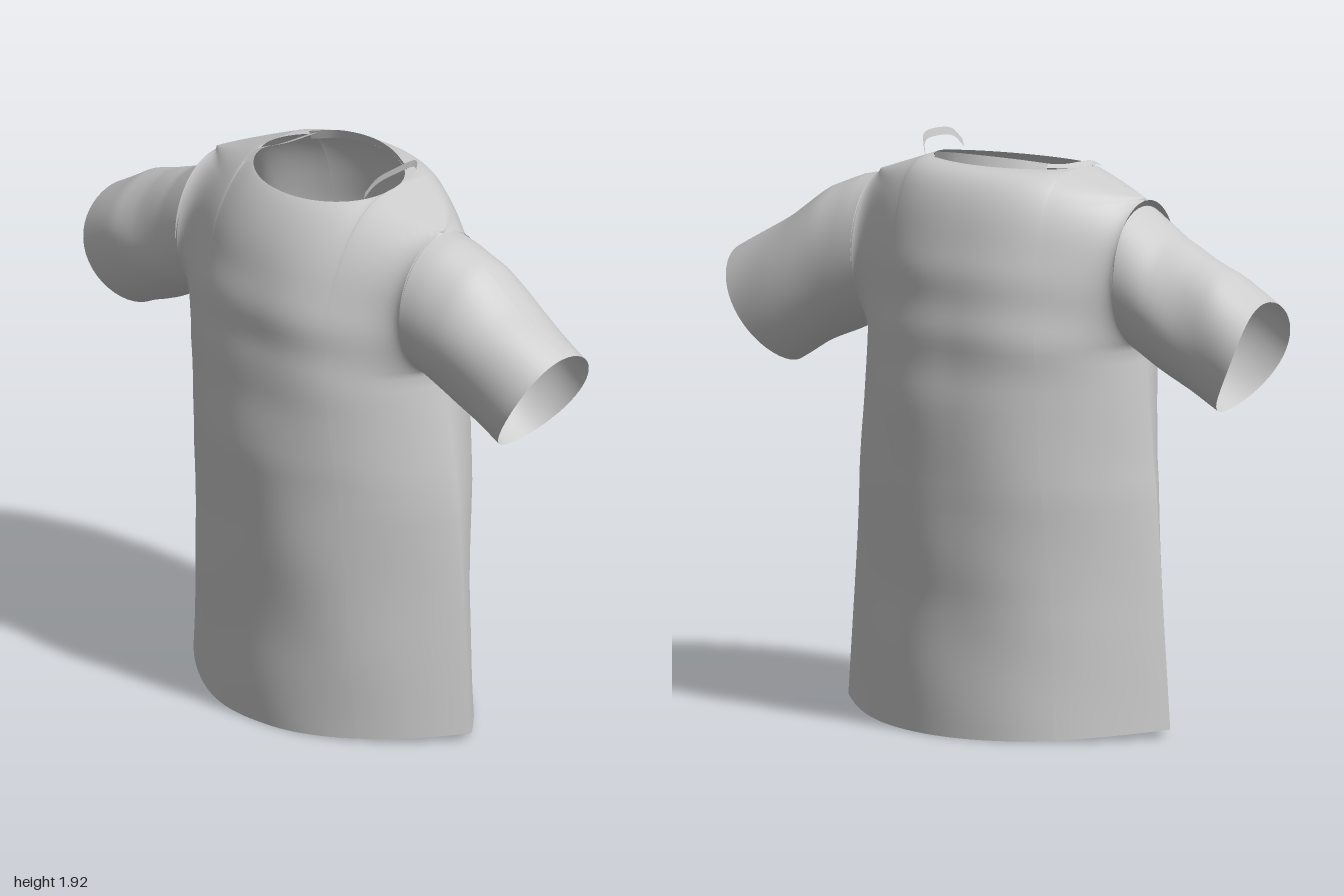
import * as THREE from 'three';

const cloth = new THREE.MeshStandardMaterial({ color: 0xcccccc, side: THREE.DoubleSide });
cloth.name = 'greyCloth';

const { lerp, clamp } = THREE.MathUtils;

// Piecewise linear lookup in [key, value] pairs
function profile(pairs, k) {
  for (let i = 1; i < pairs.length; i++) {
    const [k0, v0] = pairs[i - 1], [k1, v1] = pairs[i];
    if (k <= k1) return lerp(v0, v1, clamp((k - k0) / (k1 - k0), 0, 1));
  }
  return pairs[pairs.length - 1][1];
}

// Smooth sheet from a rule point(i / cols, j / rows) -> [x, y, z]
function sheet(name, cols, rows, point, flip = false) {
  const pos = [], index = [];
  for (let j = 0; j <= rows; j++)
    for (let i = 0; i <= cols; i++) pos.push(...point(i / cols, j / rows));
  for (let j = 0; j < rows; j++)
    for (let i = 0; i < cols; i++) {
      const a = j * (cols + 1) + i, b = a + 1, c = a + cols + 1, d = c + 1;
      if (flip) index.push(a, c, b, b, c, d);
      else index.push(a, b, c, b, d, c);
    }
  const geometry = new THREE.BufferGeometry();
  geometry.setAttribute('position', new THREE.Float32BufferAttribute(pos, 3));
  geometry.setIndex(index);
  geometry.computeVertexNormals();
  const mesh = new THREE.Mesh(geometry, cloth);
  mesh.name = name;
  return mesh;
}

const HALF_WIDTH = [[0, 0.605], [0.4, 0.578], [0.8, 0.552], [1, 0.53], [1.27, 0.5], [1.5, 0.492], [1.78, 0.495]];
const FRONT_DEPTH = [[0, 0.355], [0.3, 0.365], [0.6, 0.38], [0.95, 0.395], [1.27, 0.38]];
const BACK_DEPTH = [[0, 0.365], [0.45, 0.362], [0.8, 0.385], [1.1, 0.39], [1.27, 0.385]];
const CHEST = 1.27;     // height where the armholes begin
const NECK_U = 0.55;    // share of the half width taken by the neck opening
const ARM = { y: 1.51, ry: 0.24, rz: 0.2 };

// The chest hangs slightly towards the right
const sway = y => -0.015 * clamp((y - 0.9) / 0.4, 0, 1);

// Soft folds, mostly slanted creases across the chest and long ones to the hem
function folds(x, y, side) {
  const chest = Math.exp(-(((y - 1.38) / 0.2) ** 2));
  return 0.005 * chest * Math.sin(26 * y + 5 * x * x + side)
    + 0.004 * Math.sin(9 * x + 3 * y + side * 2) * Math.sin(5 * y + 4 * Math.abs(x))
    + 0.002 * Math.sin(14 * y - 6 * x);
}

// Front (side = 1) or back (side = -1) half, from the hem over the yoke to the neck
function bodyPanel(name, side) {
  const front = side > 0;
  const depth = front ? FRONT_DEPTH : BACK_DEPTH;
  return sheet(name, 64, 64, (s, t) => {
    // columns cluster at the neck corners and at the side seams
    const m = Math.abs(s * 2 - 1), sign = Math.sign(s * 2 - 1);
    const u = m < 0.5 ? NECK_U * Math.sin(m * Math.PI)
      : lerp(NECK_U, 1, Math.sin((m - 0.5) * Math.PI));
    // pointed lens at the hem, fuller at the chest
    const full = Math.min(1, t * 2) ** 2;
    const bulge = Math.pow(Math.max(0, 1 - Math.pow(u, lerp(2.2, 2.5, full))), lerp(1, 0.62, full));
    const inNeck = Math.sqrt(Math.max(0, 1 - (u / NECK_U) ** 2));
    let y, z;
    if (t < 0.5) {
      y = lerp(0.025 * u * u, CHEST, t * 2);
      z = profile(depth, y) * bulge;
    } else {
      const a = (t - 0.5) * Math.PI;
      const shoulder = lerp(1.84, 1.76, clamp((u - NECK_U) / (1 - NECK_U), 0, 1));
      const yTop = shoulder + (front ? -0.028 : 0.008) * inNeck;
      const zTop = (front ? 0.21 : 0.2) * inNeck;
      const c = Math.max(0, Math.cos(a));
      y = lerp(CHEST, yTop, Math.sin(a));
      const zBase = profile(depth, CHEST) * bulge;
      const arc = Math.sqrt(lerp(zTop ** 2, zBase ** 2, Math.pow(c, front ? 1.85 : 0.85)));
      const hole = ARM.rz * Math.sqrt(Math.max(0, 1 - ((y - ARM.y) / ARM.ry) ** 2));
      z = Math.hypot(arc, hole * u ** 3);
    }
    const x = sign * u * profile(HALF_WIDTH, y) + sway(y);
    z += folds(x, y, side) * (1 - u ** 4) * clamp((1.8 - y) * 4, 0, 1);
    return [x, y, side * z];
  }, !front);
}

const SLEEVES = {
  left: {
    dir: 1, root: 0.472, low: 0.78, high: 0.995, bow: 0.025, drift: 0.015,
    top: [[0, 1.75], [0.12, 1.735], [0.35, 1.685], [0.6, 1.59], [1, 1.46]],
    bottom: [[0, 1.27], [0.68, 1.165], [1, 1.105]]
  },
  right: {
    dir: -1, root: 0.5, low: 0.835, high: 0.99, bow: 0.045, drift: 0.045,
    top: [[0, 1.73], [0.25, 1.645], [0.5, 1.59], [0.72, 1.555], [1, 1.47]],
    bottom: [[0, 1.27], [0.6, 1.165], [1, 1.1]]
  }
};

// Open sleeve whose rings tilt from the upright armhole to the slanted cuff
function sleeve(name, { dir, root, low, high, bow, drift, top, bottom }) {
  return sheet(name, 48, 24, (s, t) => {
    const a = s * Math.PI * 2, k = (1 + Math.cos(a)) / 2;
    const wave = 0.005 * Math.sin(t * Math.PI) * Math.sin(3 * a + 6 * t + dir);
    const x = lerp(root, lerp(low, high, k), t) + bow * t * Math.sin(a) ** 2;
    const y = lerp(profile(bottom, t), profile(top, t), k) + wave;
    const z = (lerp(ARM.rz, 0.18, t) + wave) * Math.sin(a) - drift * t;
    return [dir * x, y, z];
  }, dir < 0);
}

// Narrow ribbon of cloth along a curve, leaning by the given offset
function ribbon(name, points, offset) {
  const curve = new THREE.CatmullRomCurve3(points.map(p => new THREE.Vector3(...p)));
  return sheet(name, 24, 2, (s, t) => {
    const p = curve.getPoint(s);
    return [p.x + offset[0] * t, p.y + offset[1] * t, p.z + offset[2] * t];
  });
}

export function createModel() {
  const shirt = new THREE.Group();
  shirt.name = 'shirt';
  shirt.add(
    bodyPanel('frontPanel', 1),
    bodyPanel('backPanel', -1),
    sleeve('leftSleeve', SLEEVES.left),
    sleeve('rightSleeve', SLEEVES.right),
    // neck binding: upright at the back, loose and lifted over each shoulder seam
    ribbon('backNeckBinding',
      [[0.2, 1.83, -0.14], [0.1, 1.843, -0.183], [-0.015, 1.848, -0.2], [-0.13, 1.843, -0.178], [-0.215, 1.83, -0.13]],
      [0, 0.032, 0.012]),
    ribbon('leftNeckBinding',
      [[0.235, 1.835, 0.11], [0.25, 1.875, 0.07], [0.26, 1.89, -0.02], [0.255, 1.885, -0.1], [0.225, 1.85, -0.15]],
      [0.006, 0.025, 0]),
    ribbon('rightNeckBinding',
      [[-0.27, 1.82, 0.13], [-0.285, 1.835, 0.06], [-0.255, 1.835, -0.03], [-0.215, 1.85, -0.13]],
      [0.03, 0.012, 0])
  );
  return shirt;
}
